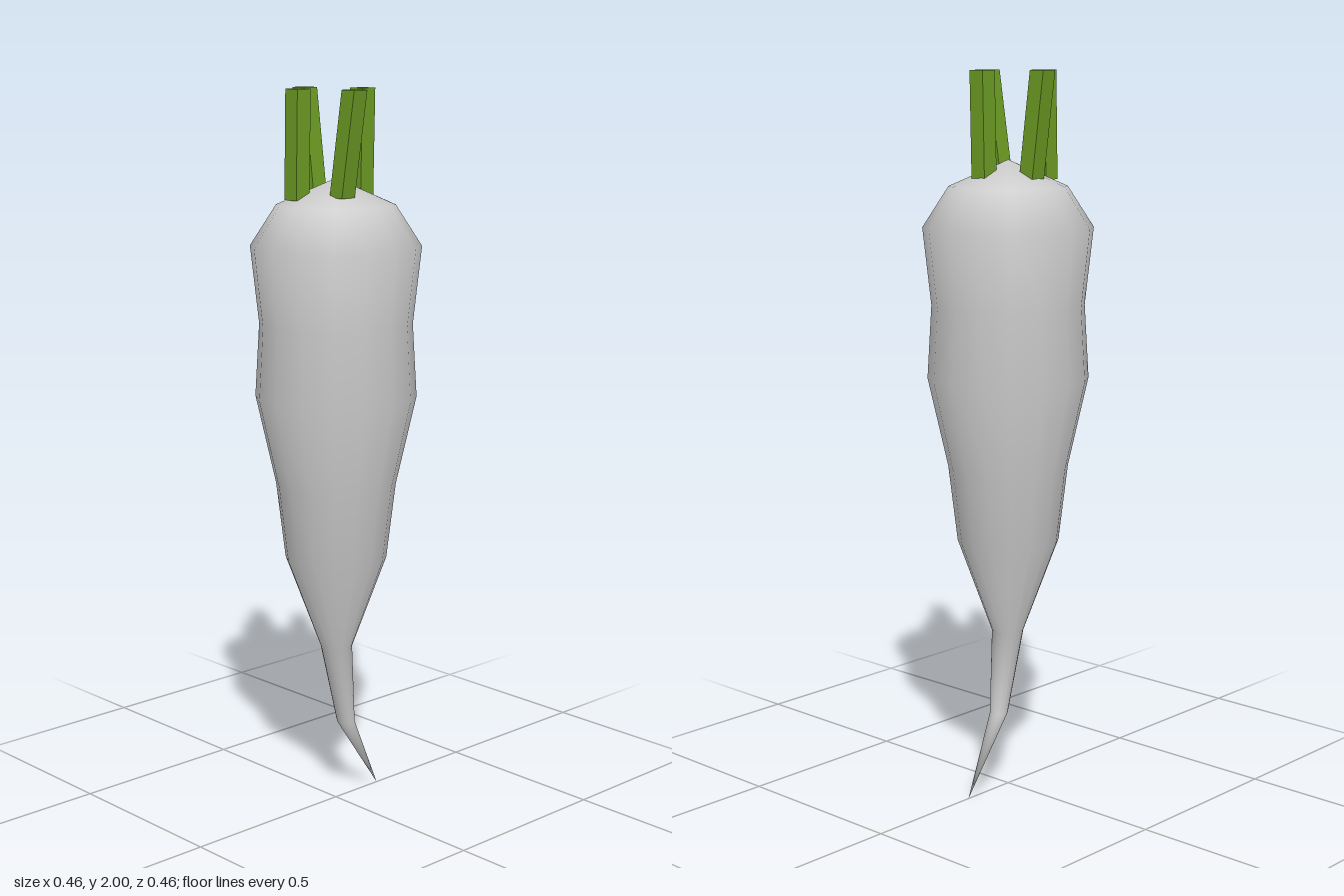
import * as THREE from 'three';
import { mergeVertices } from 'three/addons/utils/BufferGeometryUtils.js';

// Root: a 16-sided lathe whose rings are shifted back along z near the tip
function makeRoot() {
  // [radius, height, z shift], tip to crown
  const rings = [
    [0, 0.005, -0.163], [0.025, 0.225, -0.039], [0.044, 0.46, -0.002],
    [0.14, 0.72, 0], [0.165, 0.93, 0], [0.22, 1.175, 0], [0.208, 1.375, 0],
    [0.231, 1.585, 0], [0.16, 1.695, 0], [0, 1.765, 0],
  ];
  let geometry = new THREE.LatheGeometry(rings.map(([r, y]) => new THREE.Vector2(r, y)), 16);
  const position = geometry.attributes.position;
  for (let i = 0; i < position.count; i++) {
    position.setZ(i, position.getZ(i) + rings[i % rings.length][2]);
  }
  // Weld the seam so the shading stays smooth all round
  geometry.deleteAttribute('uv');
  geometry.deleteAttribute('normal');
  geometry = mergeVertices(geometry, 1e-4);
  geometry.computeVertexNormals();
  const root = new THREE.Mesh(geometry, new THREE.MeshStandardMaterial({ color: 0xcccccc }));
  root.name = 'root';
  return root;
}

// Stalk: a square post sheared sideways, with level ends
function makeStalk(bottomX, topX, z, bottomY, material) {
  const height = 2 - bottomY;
  const geometry = new THREE.BoxGeometry(0.047, height, 0.047);
  const lean = (topX - bottomX) / height;
  geometry.applyMatrix4(new THREE.Matrix4().set(
    1, lean, 0, (bottomX + topX) / 2,
    0, 1, 0, bottomY + height / 2,
    0, 0, 1, z,
    0, 0, 0, 1,
  ));
  geometry.computeVertexNormals();
  return new THREE.Mesh(geometry, material);
}

export function createModel() {
  const model = new THREE.Group();
  model.name = 'rootVegetable';
  model.add(makeRoot());

  // Four cut leaf stalks around the crown
  const green = new THREE.MeshStandardMaterial({ color: 0x6b9a23 });
  const stalks = new THREE.Group();
  stalks.name = 'leafStalks';
  [
    [-0.082, -0.12, 0.002, 1.715],
    [-0.043, -0.037, 0.101, 1.71],
    [0.014, 0.02, -0.079, 1.715],
    [0.073, 0.119, 0.046, 1.72],
  ].forEach(([bottomX, topX, z, bottomY], i) => {
    const stalk = makeStalk(bottomX, topX, z, bottomY, green);
    stalk.name = `leafStalk${i + 1}`;
    stalks.add(stalk);
  });
  model.add(stalks);
  return model;
}
